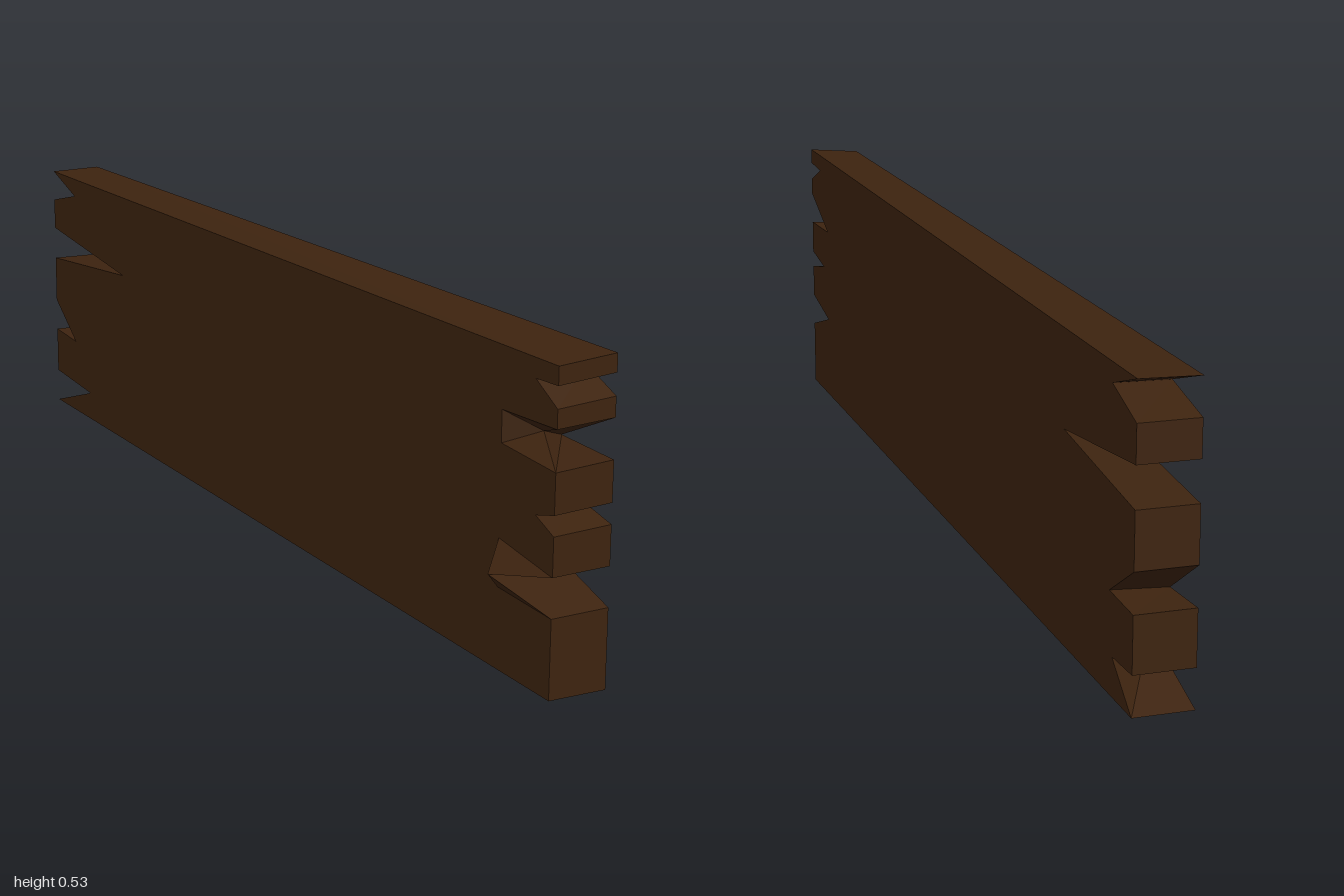
import * as THREE from 'three';

const LEFT = 0.071, RIGHT = -0.032;

// Tooth corner at a broken end: same z on both sides, own height on each.
const corner = (z, yLeft, yRight = yLeft) => ({ a: [z, yLeft], b: [z, yRight] });
// Bottom of a split: its point on the left face and on the right face.
const split = (a, b) => ({ a, b });
// Split whose apex misses the right face and meets a squared opening there.
const chipped = (a, b, apexX, opening) => ({ a, b, apexX, opening });

// Plank outline: along the bottom, up the back end, along the top, down the front end.
const OUTLINE = [
  corner(1, 0),
  corner(-1, 0),
  split([-0.915, 0.065], [-0.81, 0.058]),
  corner(-1, 0.068),
  corner(-1, 0.163),
  split([-0.9, 0.167], [-0.89, 0.157]),
  corner(-1, 0.23),
  corner(-1, 0.325),
  split([-0.69, 0.36], [-0.62, 0.355]),
  corner(-1, 0.393),
  corner(-1, 0.456),
  split([-0.9, 0.49], [-0.88, 0.482]),
  corner(-1, 0.522, 0.519),
  corner(1, 0.53, 0.521),
  corner(1, 0.5, 0.491),
  split([0.92, 0.496], [0.94, 0.489]),
  corner(1, 0.464, 0.456),
  corner(1, 0.431, 0.425),
  chipped([0.86, 0.37], [0.89, 0.39], 0.018, [[0.85, 0.42], [0.85, 0.367]]),
  corner(1, 0.366, 0.359),
  corner(1, 0.299, 0.293),
  split([0.9, 0.285], [0.95, 0.28]),
  corner(1, 0.265, 0.26),
  corner(1, 0.199, 0.196),
  chipped([0.865, 0.173], [0.885, 0.173], -0.073, [[0.85, 0.215], [0.85, 0.135]]),
  corner(1, 0.133, 0.131),
];

function plankGeometry() {
  const positions = [];
  const tri = (...points) => points.forEach((p) => positions.push(...p));
  const at = (x, [z, y]) => [x, y, z];

  // Broad faces
  const face = (x, outline, flip) => {
    const flat = outline.map(([z, y]) => new THREE.Vector2(-z, y));
    for (const [i, j, k] of THREE.ShapeUtils.triangulateShape(flat, [])) {
      const order = flip ? [k, j, i] : [i, j, k];
      tri(...order.map((n) => at(x, outline[n])));
    }
  };
  face(LEFT, OUTLINE.map((p) => p.a), false);
  face(RIGHT, OUTLINE.flatMap((p) => p.opening ?? [p.b]), true);

  // Edges, tooth ends and the sides of the splits
  const rightPoint = (p) => at(p.apexX ?? RIGHT, p.b);
  OUTLINE.forEach((p, i) => {
    const q = OUTLINE[(i + 1) % OUTLINE.length];
    tri(at(LEFT, p.a), rightPoint(p), rightPoint(q));
    tri(at(LEFT, p.a), rightPoint(q), at(LEFT, q.a));

    // Chip facets between the apex and the squared opening
    if (p.opening) {
      const rim = [OUTLINE[i - 1].b, ...p.opening, q.b].map((r) => at(RIGHT, r));
      for (let k = 0; k < 3; k++) tri(rim[k], rim[k + 1], rightPoint(p));
    }
  });

  const geometry = new THREE.BufferGeometry();
  geometry.setAttribute('position', new THREE.Float32BufferAttribute(positions, 3));
  geometry.computeVertexNormals();
  return geometry;
}

export function createModel() {
  const darkWood = new THREE.MeshStandardMaterial({ color: 0x3d230f });
  darkWood.name = 'darkWood';

  const plank = new THREE.Mesh(plankGeometry(), darkWood);
  plank.name = 'brokenPlank';

  const model = new THREE.Group();
  model.name = 'woodenPlank';
  model.add(plank);
  return model;
}
